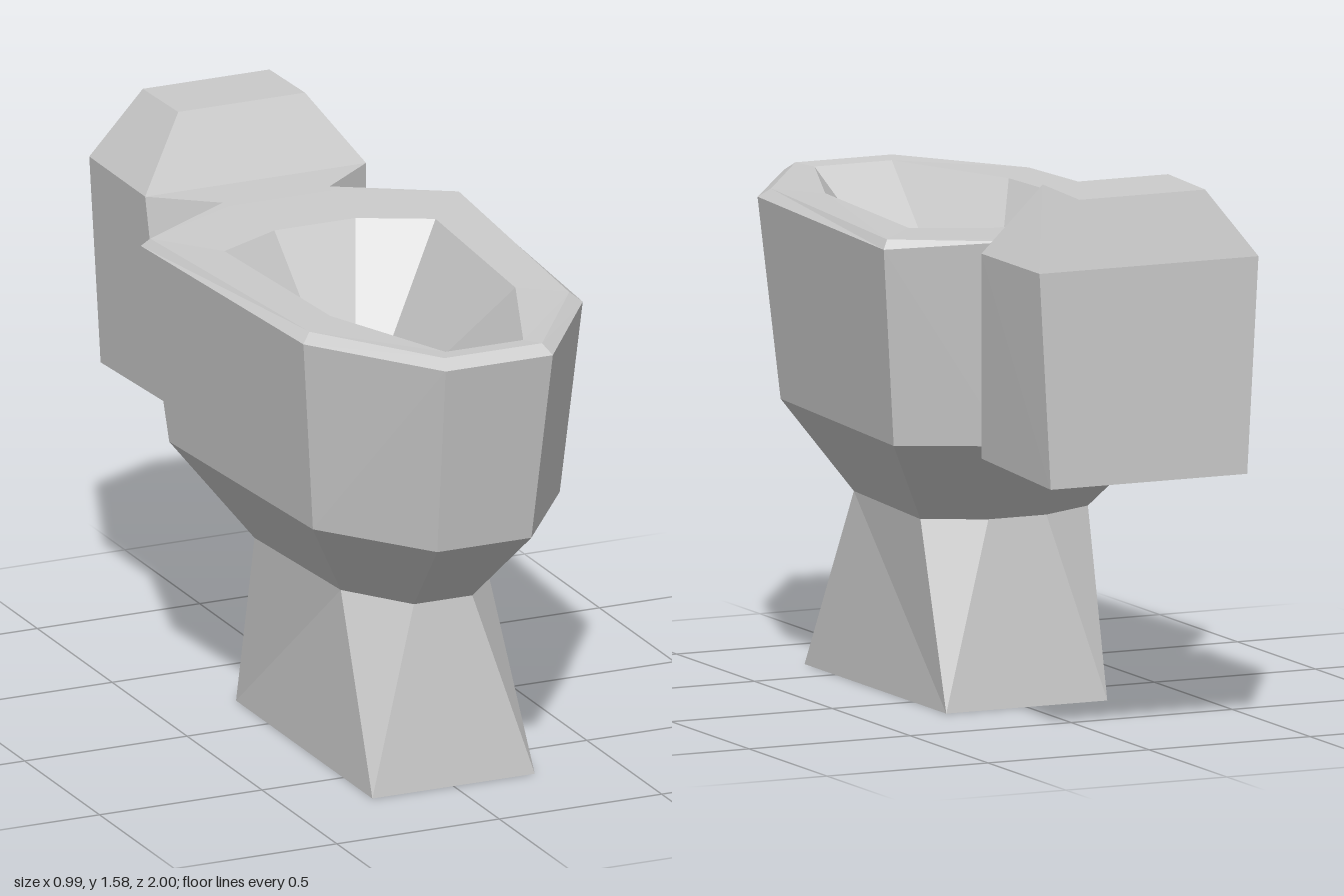
import * as THREE from 'three';

const material = new THREE.MeshStandardMaterial({ color: 0xcccccc, flatShading: true });

// Mirror a half outline (front to back on +x) into a closed ring.
function ring(y, half) {
  const right = half.map(([x, z, py = y]) => new THREE.Vector3(x, py, z));
  const left = right.map((p) => new THREE.Vector3(-p.x, p.y, p.z)).reverse();
  return [...right, ...left];
}

// Skin a stack of rings; optional centre points close the two ends.
function loft(name, rings, startCentre, endCentre) {
  const pos = [];
  const tri = (a, b, c) => {
    const area = b.clone().sub(a).cross(c.clone().sub(a)).length();
    if (area > 1e-8) for (const p of [a, b, c]) pos.push(p.x, p.y, p.z);
  };
  const n = rings[0].length;
  for (let i = 0; i < n; i++) {
    const j = (i + 1) % n;
    for (let k = 0; k + 1 < rings.length; k++) {
      const [a, b, c, d] = [rings[k][i], rings[k][j], rings[k + 1][j], rings[k + 1][i]];
      // Mirror the diagonal on the other side.
      if (i < n / 2) { tri(a, b, d); tri(b, c, d); }
      else { tri(a, b, c); tri(a, c, d); }
    }
    const last = rings[rings.length - 1];
    if (startCentre) tri(rings[0][j], rings[0][i], new THREE.Vector3(...startCentre));
    if (endCentre) tri(last[i], last[j], new THREE.Vector3(...endCentre));
  }
  const geometry = new THREE.BufferGeometry();
  geometry.setAttribute('position', new THREE.Float32BufferAttribute(pos, 3));
  geometry.computeVertexNormals();
  const mesh = new THREE.Mesh(geometry, material);
  mesh.name = name;
  return mesh;
}

export function createModel() {
  const group = new THREE.Group();
  group.name = 'toilet';

  // Pedestal: rectangular foot blending into the eight-sided waist
  const foot = ring(0, [[0.25, 0.695], [0.25, 0.695], [0.25, -0.215], [0.25, -0.215]]);
  const waist = ring(0.53, [[0.09, 0.625], [0.225, 0.43], [0.26, -0.07], [0.09, -0.155]]);
  group.add(loft('pedestal', [foot, waist], [0, 0, 0.24]));

  // Bowl: flared underside, outer wall, bevelled rim, then the basin to its lowest point
  group.add(loft('bowl', [
    waist,
    ring(0.78, [[0.145, 0.9], [0.38, 0.58], [0.435, -0.26], [0.15, -0.405]]),
    ring(1.35, [[0.165, 1], [0.43, 0.625], [0.495, -0.32], [0.165, -0.49, 1.375]]),
    ring(1.375, [[0.15, 0.96], [0.4, 0.6], [0.475, -0.3], [0.165, -0.455]]),
    ring(1.37, [[0.12, 0.9], [0.285, 0.49], [0.325, -0.13], [0.125, -0.23]]),
  ], null, [0, 0.82, 0.04]));

  // Tank with the tapered neck that joins it to the bowl
  const tankTop = ring(1.375, [[0.165, -0.49], [0.34, -0.627], [0.34, -1]]);
  group.add(loft('tank', [
    ring(0.78, [[0.15, -0.405], [0.305, -0.555], [0.305, -1, 0.76]]),
    tankTop,
  ], [0, 0.773, -0.7], [0, 1.375, -0.7]));

  // Sloped tank lid
  group.add(loft('tankLid', [
    ring(1.375, [[0.34, -0.627], [0.34, -1]]),
    ring(1.575, [[0.195, -0.72], [0.195, -0.957, 1.568]]),
  ], null, [0, 1.572, -0.84]));

  return group;
}
